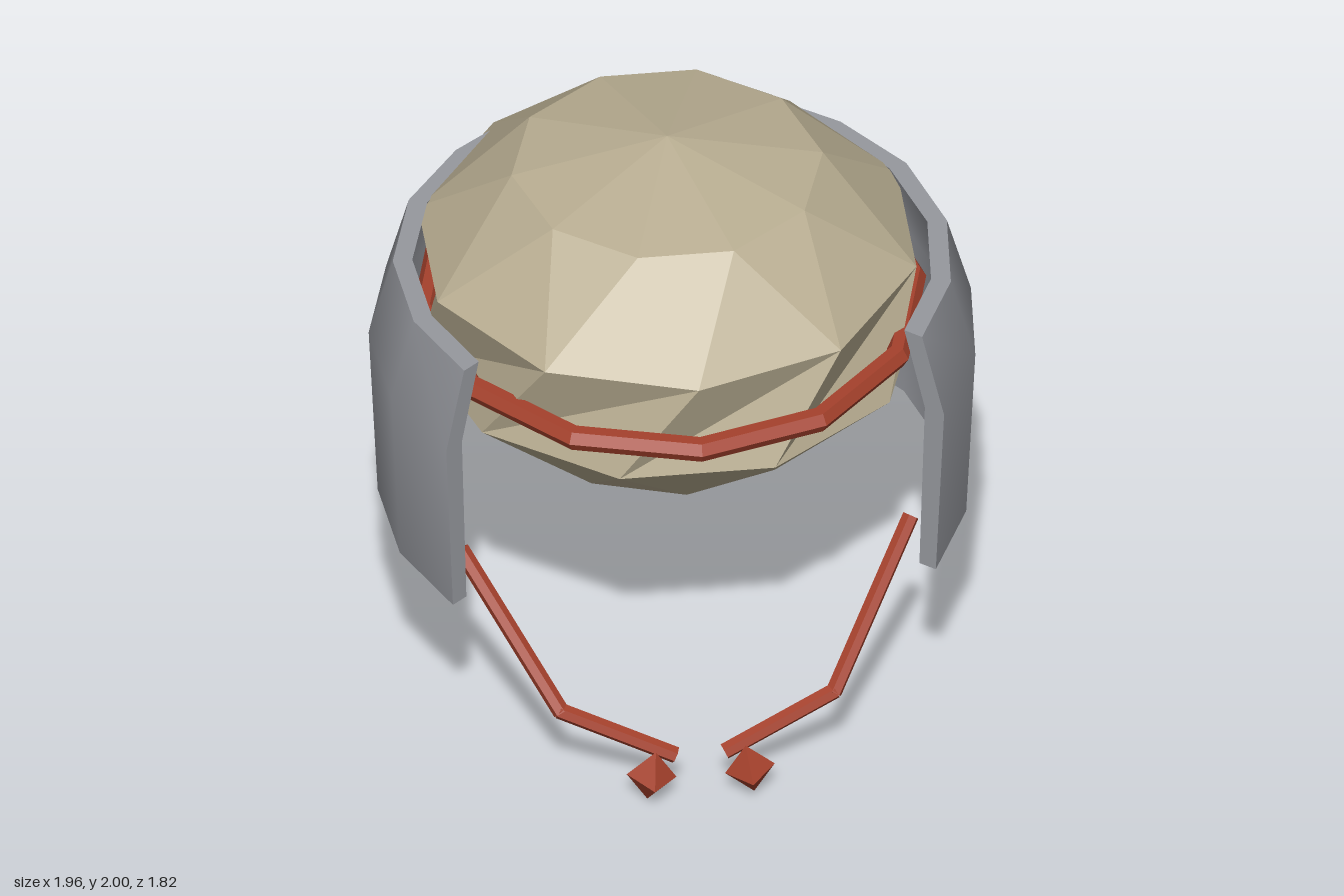
import * as THREE from 'three';
import { toCreasedNormals } from 'three/addons/utils/BufferGeometryUtils.js';

const material = (name, color, flatShading) => {
  const m = new THREE.MeshStandardMaterial({ color, flatShading });
  m.name = name;
  return m;
};

const build = (positions, index) => {
  const g = new THREE.BufferGeometry();
  g.setAttribute('position', new THREE.Float32BufferAttribute(positions, 3));
  g.setIndex(index);
  g.computeVertexNormals();
  return g;
};

// Faceted ball whose odd rings are turned by half a step
function crownGeometry() {
  const sides = 10, rows = 5, pos = [], index = [];
  for (let r = 0; r <= rows; r++) {
    const polar = Math.PI * r / rows, s = Math.sin(polar);
    for (let i = 0; i < sides; i++) {
      const a = (i - (r % 2) / 2) * 2 * Math.PI / sides;
      pos.push(0.862 * s * Math.sin(a), 1.413 + 0.587 * Math.cos(polar), -0.07 + 0.883 * s * Math.cos(a));
    }
  }
  for (let r = 0; r < rows; r++) {
    for (let i = 0; i < sides; i++) {
      const j = (i + 1) % sides, u = r * sides, l = u + sides;
      if (r > 0) index.push(u + i, l + i, u + j);
      if (r < rows - 1) index.push(u + j, l + i, l + j);
    }
  }
  return build(pos, index);
}

// Thick wall swept around the back, open at the front
function bandGeometry() {
  const half = [[0.81, 0.67], [0.95, 0.36], [0.98, 0], [0.88, -0.35], [0.68, -0.62], [0.44, -0.8], [0.2, -0.87]];
  const path = [...half, [0, -0.88], ...half.map(([x, z]) => [-x, z]).reverse()];
  // height and scale of each corner of the wall section
  const section = [[0.715, 0.97], [1.35, 1], [1.63, 0.92], [1.63, 0.855], [1.35, 0.93], [0.715, 0.91]];
  const n = section.length, pos = [], index = [];
  for (const [x, z] of path) for (const [y, s] of section) pos.push(x * s, y, z * s);
  for (let p = 0; p < path.length - 1; p++) {
    for (let k = 0; k < n; k++) {
      const a = p * n + k, b = p * n + (k + 1) % n;
      index.push(a, a + n, b, b, a + n, b + n);
    }
  }
  // end caps
  const e = (path.length - 1) * n;
  for (const [a, b, c] of [[0, 1, 4], [0, 4, 5], [1, 2, 3], [1, 3, 4]]) {
    index.push(a, b, c, e + a, e + c, e + b);
  }
  return toCreasedNormals(build(pos, index), 0.55);
}

export function createModel() {
  const cream = material('cream', 0xb9ae92, true);
  const grey = material('grey', 0x96989e, false);
  const red = material('red', 0xa5412c, true);
  const model = new THREE.Group();
  model.name = 'cap';
  const add = (parent, name, geometry, mat) => {
    const mesh = new THREE.Mesh(geometry, mat);
    mesh.name = name;
    parent.add(mesh);
    return mesh;
  };

  add(model, 'crown', crownGeometry(), cream);
  add(model, 'earFlapBand', bandGeometry(), grey);

  // cord around the crown
  const cord = add(model, 'cord', new THREE.TorusGeometry(0.81, 0.04, 6, 12).rotateX(Math.PI / 2), red);
  cord.scale.set(0.985, 1, 1.04);
  cord.position.set(0, 1.398, -0.02);

  // chin ties with a bead at each end
  for (const side of [1, -1]) {
    const tie = new THREE.Group();
    tie.name = side > 0 ? 'leftTie' : 'rightTie';
    const points = [[0.73, 0.76, 0.42], [0.445, 0.315, 0.73], [0.085, 0.16, 0.8]]
      .map(([x, y, z]) => new THREE.Vector3(x * side, y, z));
    for (let i = 0; i < 2; i++) {
      const dir = points[i + 1].clone().sub(points[i]);
      const rod = add(tie, 'strap', new THREE.CylinderGeometry(0.028, 0.028, dir.length() + 0.012, 6), red);
      rod.position.copy(points[i]).addScaledVector(dir, 0.5);
      rod.quaternion.setFromUnitVectors(new THREE.Vector3(0, 1, 0), dir.normalize());
    }
    const bead = add(tie, 'bead', new THREE.OctahedronGeometry(0.093), red);
    bead.scale.x = 0.88;
    bead.position.set(0.16 * side, 0.095, 0.818);
    bead.rotation.z = 0.15 * side;
    model.add(tie);
  }
  return model;
}
